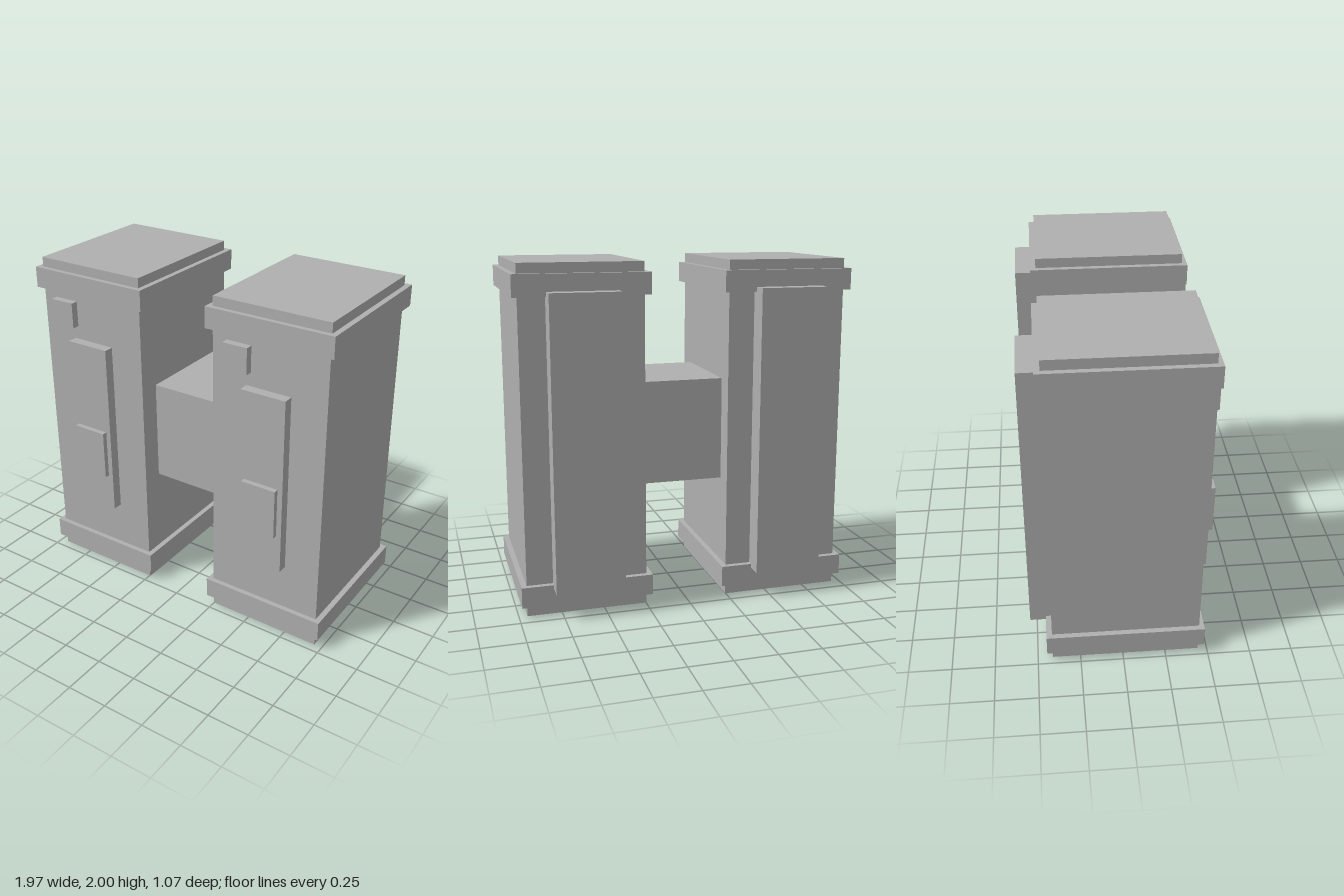
import * as THREE from 'three';

const grey = new THREE.MeshStandardMaterial({ color: 0xb0b0b0 });
grey.name = 'plain grey';

// Box given by its extents on each axis
function box(name, [x0, x1], [y0, y1], [z0, z1]) {
  const mesh = new THREE.Mesh(new THREE.BoxGeometry(x1 - x0, y1 - y0, z1 - z0), grey);
  mesh.position.set((x0 + x1) / 2, (y0 + y1) / 2, (z0 + z1) / 2);
  mesh.name = name;
  return mesh;
}

// One tower, built around its own x = 0; front details sit off-centre
function createTower(name) {
  const tower = new THREE.Group();
  tower.name = name;
  tower.add(
    box('towerBody', [-0.352, 0.352], [0, 2], [-0.413, 0.447]),
    box('lowerBand', [-0.384, 0.384], [0.063, 0.185], [-0.445, 0.476]),
    box('upperBand', [-0.384, 0.384], [1.82, 1.943], [-0.445, 0.476]),
    box('backPanel', [-0.2, 0.2], [0.16, 1.847], [-0.537, -0.413]),
    box('frontPanel', [-0.138, 0.138], [0.467, 1.54], [0.447, 0.507]),
    box('frontButton', [-0.107, 0.107], [0.7, 1], [0.507, 0.537]),
    box('cornerBlock', [-0.263, -0.11], [1.62, 1.773], [0.447, 0.491]),
  );
  return tower;
}

export function createModel() {
  const model = new THREE.Group();
  model.name = 'twinTowers';
  for (const side of [-1, 1]) {
    const tower = createTower(side < 0 ? 'rightTower' : 'leftTower');
    tower.position.x = side * 0.599;
    model.add(tower);
  }
  // Block joining the towers
  model.add(box('bridge', [-0.247, 0.247], [0.7, 1.307], [-0.3, 0.32]));
  return model;
}
